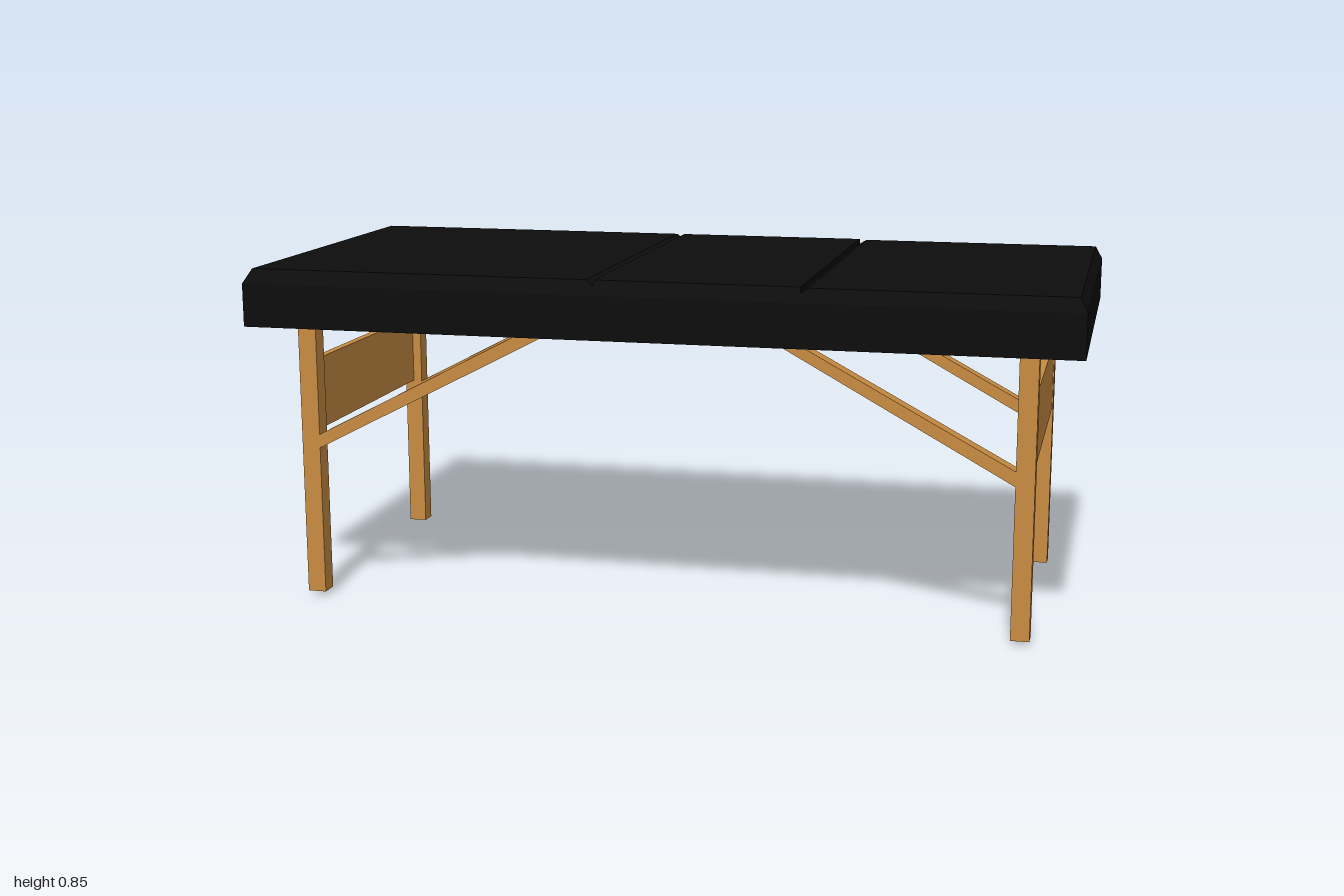
import * as THREE from 'three';

const BOTTOM = 0.705, SHOULDER = 0.81, HALF_DEPTH = 0.47;

// Padded top: cross-sections [x, top height] lofted along x, with bevelled long edges
function paddedTopGeometry() {
  const stations = [
    [-1, 0.81], [-0.98, 0.845], [-0.145, 0.845], [-0.13, 0.832], [-0.125, 0.832], [-0.125, 0.845],
    [0.36, 0.845], [0.36, 0.832], [0.378, 0.843], [0.983, 0.843], [1, 0.81],
  ];
  const rings = stations.map(([x, h]) => {
    const t = HALF_DEPTH - 0.5 * (h - SHOULDER);
    return [[-HALF_DEPTH, BOTTOM], [-HALF_DEPTH, SHOULDER], [-t, h], [t, h], [HALF_DEPTH, SHOULDER], [HALF_DEPTH, BOTTOM]]
      .map(([z, y]) => [x, y, z]);
  });
  const positions = [];
  const tri = (a, b, c) => positions.push(...a, ...b, ...c);
  for (let i = 0; i < rings.length - 1; i++) {
    for (let j = 0; j < 6; j++) {
      const k = (j + 1) % 6;
      tri(rings[i][j], rings[i][k], rings[i + 1][k]);
      tri(rings[i][j], rings[i + 1][k], rings[i + 1][j]);
    }
  }
  // End caps
  const first = rings[0], last = rings[rings.length - 1];
  for (let j = 1; j < 5; j++) {
    tri(last[0], last[j], last[j + 1]);
    tri(first[0], first[j + 1], first[j]);
  }
  const geometry = new THREE.BufferGeometry();
  geometry.setAttribute('position', new THREE.Float32BufferAttribute(positions, 3));
  geometry.computeVertexNormals();
  return geometry;
}

export function createModel() {
  const model = new THREE.Group();
  const wood = new THREE.MeshStandardMaterial({ color: 0xc98d42 });
  wood.name = 'wood';
  const upholstery = new THREE.MeshStandardMaterial({ color: 0x0d0d0d });
  upholstery.name = 'blackUpholstery';

  const add = (parent, name, geometry, material) => {
    const mesh = new THREE.Mesh(geometry, material);
    mesh.name = name;
    parent.add(mesh);
    return mesh;
  };
  // Box given by its limits on each axis
  const addBox = (parent, name, [x0, x1], [y0, y1], [z0, z1]) =>
    add(parent, name, new THREE.BoxGeometry(x1 - x0, y1 - y0, z1 - z0), wood)
      .position.set((x0 + x1) / 2, (y0 + y1) / 2, (z0 + z1) / 2);

  add(model, 'paddedTop', paddedTopGeometry(), upholstery);

  // One folding frame at each end: two legs, two diagonal braces and a panel
  const ends = [
    {
      name: 'leftFrame', legX: [0.848, 0.893], panelX: [0.87, 0.89],
      front: [0.302, 0.347], back: [-0.41, -0.366], feet: [0.01, 0],
      brace: [[0.85, 0.38], [0.257, 0.707], [0.31, 0.707], [0.85, 0.416]],
    },
    {
      name: 'rightFrame', legX: [-0.913, -0.867], panelX: [-0.91, -0.89],
      front: [0.307, 0.353], back: [-0.405, -0.36], feet: [0.012, 0.012],
      brace: [[-0.869, 0.384], [-0.245, 0.707], [-0.315, 0.707], [-0.869, 0.418]],
    },
  ];
  for (const end of ends) {
    const frame = new THREE.Group();
    frame.name = end.name;
    model.add(frame);
    [['front', end.front], ['back', end.back]].forEach(([side, z], i) => {
      addBox(frame, side + 'Leg', end.legX, [end.feet[i], 0.707], z);
      const outline = new THREE.Shape(end.brace.map(([x, y]) => new THREE.Vector2(x, y)));
      const brace = new THREE.ExtrudeGeometry(outline, { depth: z[1] - z[0], bevelEnabled: false });
      add(frame, side + 'Brace', brace, wood).position.z = z[0];
    });
    addBox(frame, 'endPanel', end.panelX, [0.42, 0.6], [end.back[1], end.front[0]]);
  }
  return model;
}
